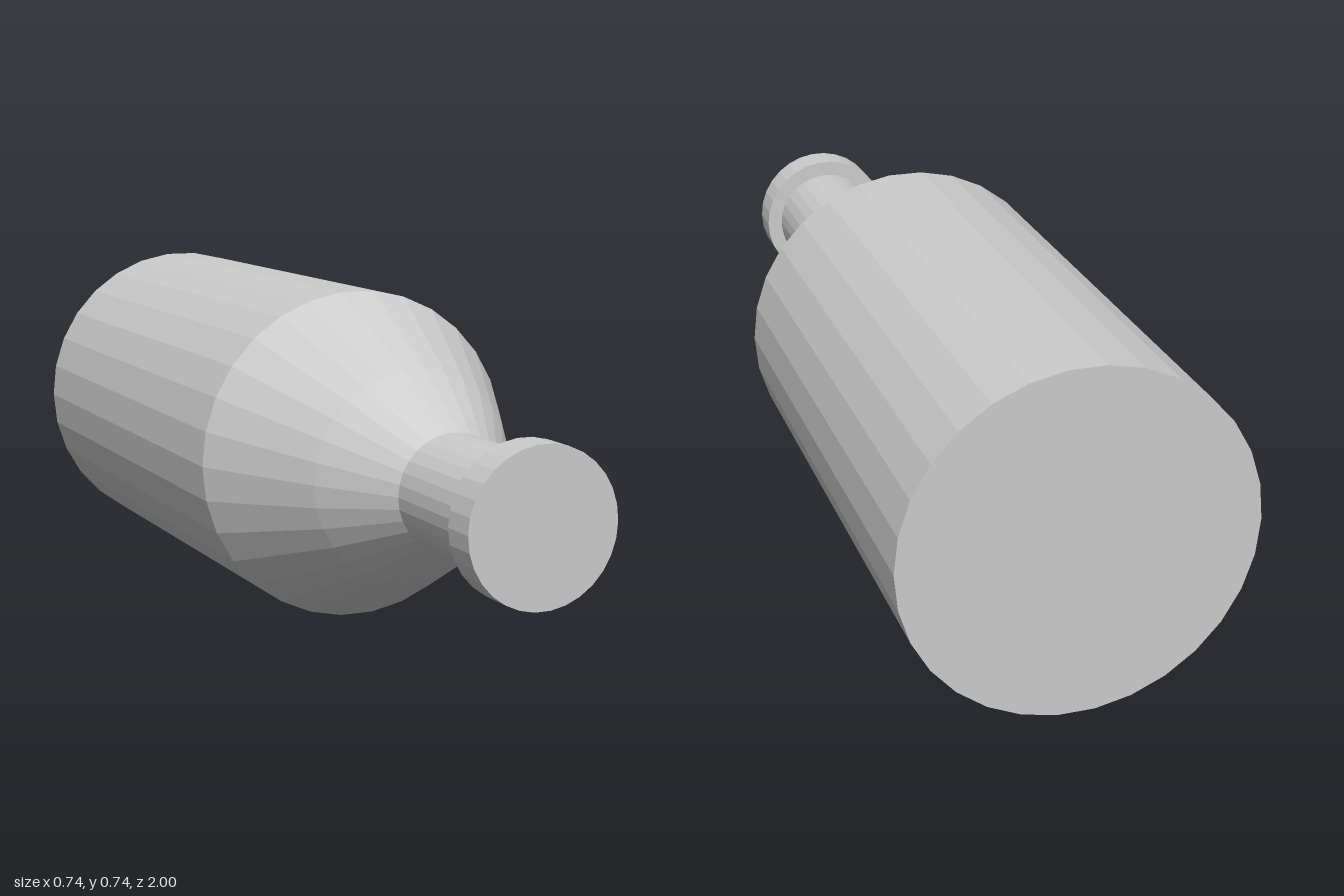
import * as THREE from 'three';

const SIDES = 30;
const AXIS_HEIGHT = 0.372;

// Turns a profile of [radius, z] points, back to front, around the z axis.
function turned(name, profile, material) {
  const points = profile.map(([r, z]) => new THREE.Vector2(r, z));
  const geometry = new THREE.LatheGeometry(points, SIDES, Math.PI / 2);
  geometry.rotateX(Math.PI / 2);
  const mesh = new THREE.Mesh(geometry, material);
  mesh.name = name;
  mesh.position.y = AXIS_HEIGHT;
  return mesh;
}

export function createModel() {
  const group = new THREE.Group();
  group.name = 'bottle';
  const material = new THREE.MeshStandardMaterial({ color: 0xcccccc, flatShading: true });

  group.add(
    // Straight barrel with a flat base at the back
    turned('body', [[0, -1], [0.372, -1], [0.372, 0.16]], material),
    // Two-step taper towards the neck
    turned('shoulder', [[0.372, 0.16], [0.232, 0.45], [0.125, 0.63]], material),
    turned('neck', [[0.125, 0.63], [0.125, 0.92]], material),
    // Wider collar with a flat closed front
    turned('lip', [[0.125, 0.92], [0.162, 0.92], [0.162, 1], [0, 1]], material),
  );
  return group;
}
